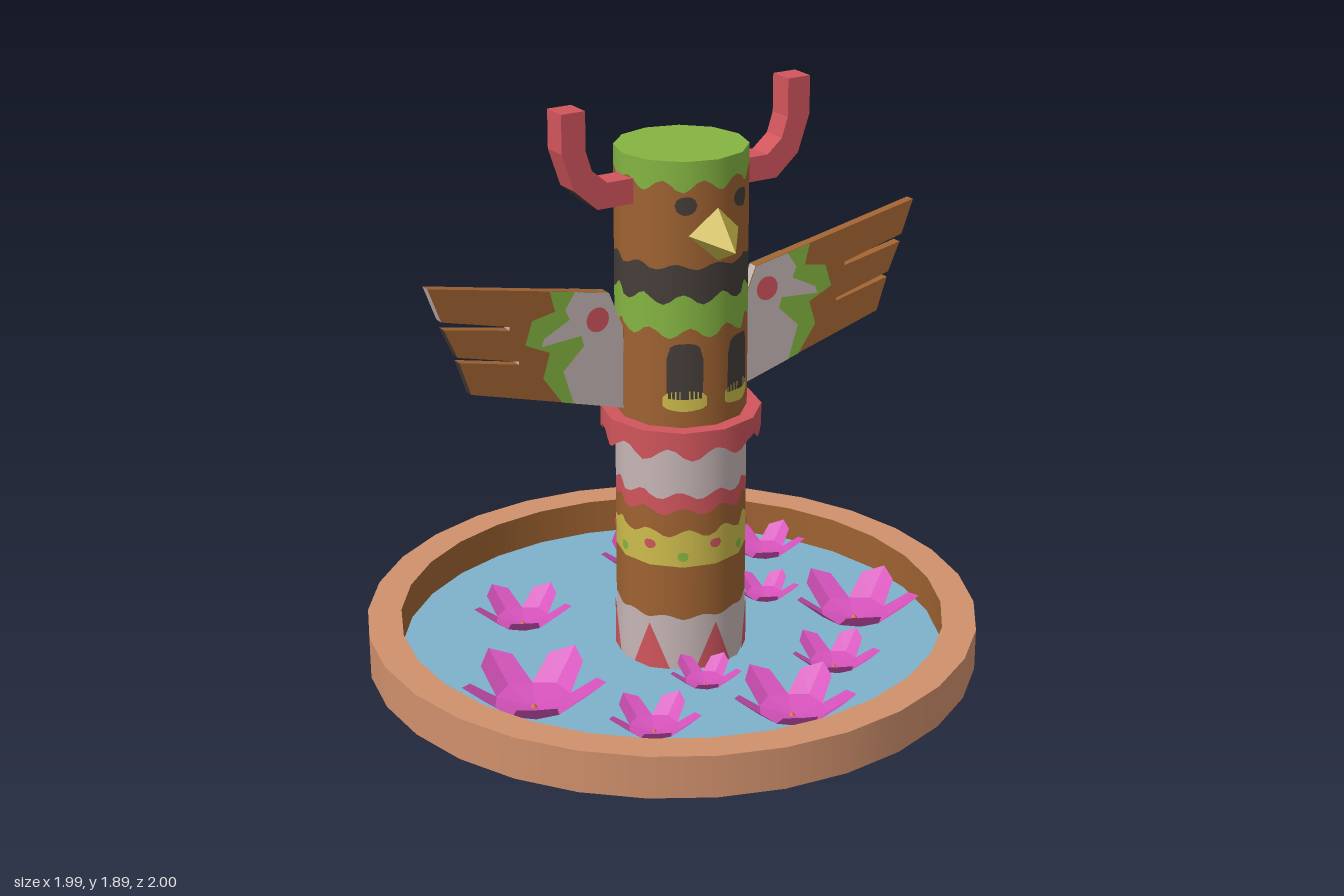
import * as THREE from 'three';
import { ConvexGeometry } from 'three/addons/geometries/ConvexGeometry.js';

const mat = (name, color) => new THREE.MeshStandardMaterial({ name, color, side: THREE.DoubleSide });

const R = 0.21;          // pole radius
const SIDES = 12;        // pole sides

// Distance from the axis to a twelve-sided wall at angle t
function wallRadius(t, r) {
  const step = (Math.PI * 2) / SIDES;
  const local = ((t % step) + step) % step - step / 2;
  return (r * Math.cos(step / 2)) / Math.cos(local);
}

export function createModel() {
  const terracotta = mat('terracotta', 0xd0906c);
  const brown = mat('wood brown', 0x9e6231);
  const green = mat('leaf green', 0x84b442);
  const dark = mat('charcoal', 0x453d39);
  const red = mat('red', 0xd0555c);
  const white = mat('chalk white', 0xc6b5b5);
  const yellow = mat('yellow', 0xcdbb4c);
  const blue = mat('water blue', 0x7db2cb);
  const magenta = mat('petal magenta', 0xd552bb);
  const orange = mat('flower centre orange', 0xd07030);

  const model = new THREE.Group();
  model.name = 'carvedPoleInPond';
  const pole = new THREE.Group();
  pole.name = 'pole';
  pole.position.set(0.017, 0, 0.028);
  model.add(pole);

  const add = (parent, name, geometry, material, x = 0, y = 0, z = 0) => {
    const mesh = new THREE.Mesh(geometry, material);
    mesh.name = name;
    mesh.position.set(x, y, z);
    parent.add(mesh);
    return mesh;
  };
  const flatRing = (inner, outer, n) =>
    new THREE.RingGeometry(inner, outer, n, 1, Math.PI / 2).rotateX(-Math.PI / 2);

  // Basin
  add(model, 'basinWall', new THREE.CylinderGeometry(1, 1, 0.14, 30, 1, true), terracotta, 0, 0.07);
  add(model, 'basinRim', flatRing(0.89, 1, 30), terracotta, 0, 0.14);
  const inner = new THREE.CylinderGeometry(0.89, 0.89, 0.138, 30, 1, true);
  inner.scale(1, -1, 1);
  const idx = inner.index.array;
  for (let i = 0; i < idx.length; i += 3) [idx[i], idx[i + 1]] = [idx[i + 1], idx[i]];
  const n = inner.attributes.normal;
  for (let i = 0; i < n.count; i++) n.setXYZ(i, -n.getX(i), 0, -n.getZ(i));
  // Winding turned twice (mirror and swap), so turn it once more to face inward
  for (let i = 0; i < idx.length; i += 3) [idx[i], idx[i + 1]] = [idx[i + 1], idx[i]];
  inner.computeBoundingSphere();
  add(model, 'basinInnerWall', inner, brown, 0, 0.071);
  add(model, 'water', new THREE.CylinderGeometry(0.985, 0.985, 0.018, 30), blue, 0, 0.01);

  // Band around the pole with wavy edges; an edge is [height, wave size]
  const wave = ([y, a], t) => y + a * Math.cos(10 * t + y * 9);
  function band(name, material, low, high, r = R) {
    const g = new THREE.CylinderGeometry(r, r, 1, 60, 1, true);
    const p = g.attributes.position;
    for (let i = 0; i < p.count; i++) {
      const t = Math.atan2(p.getX(i), p.getZ(i));
      const w = wallRadius(t, r);
      p.setXYZ(i, w * Math.sin(t), wave(p.getY(i) > 0 ? high : low, t), w * Math.cos(t));
    }
    add(pole, name, g, material);
  }
  const edges = [[0, 0], [0.205, 0.006], [0.385, 0], [0.5, 0.014], [0.575, 0.014], [0.63, 0.014],
    [0.86, 0], [1.175, 0.018], [1.285, 0.018], [1.39, 0.01], [1.645, 0.018], [1.725, 0]];
  [white, brown, yellow, brown, red, white, brown, green, dark, brown, green]
    .forEach((m, i) => band('poleBand' + (i + 1), m, edges[i], edges[i + 1]));
  add(pole, 'poleTop', new THREE.CircleGeometry(R, SIDES, Math.PI / 2).rotateX(-Math.PI / 2), green, 0, 1.725);

  // Collar
  band('collar', red, [0.788, 0.02], [0.865, 0], 0.257);
  add(pole, 'collarTop', flatRing(0.2, 0.257, SIDES), red, 0, 0.865);

  // Painted patch wrapped on the pole; low and high give its edges for u from -1 to 1
  function patch(name, material, angle, half, low, high) {
    const g = new THREE.PlaneGeometry(2, 1, 10, 1);
    const p = g.attributes.position;
    for (let i = 0; i < p.count; i++) {
      const u = p.getX(i);
      const t = angle + u * half;
      const w = wallRadius(t, R) + 0.004;
      p.setXYZ(i, w * Math.sin(t), p.getY(i) > 0 ? high(u) : low(u), w * Math.cos(t));
      g.attributes.normal.setXYZ(i, Math.sin(t), 0, Math.cos(t));
    }
    add(pole, name, g, material);
  }
  const arc = (u) => Math.sqrt(Math.max(0, 1 - u * u));
  const dot = (name, m, angle, y, half, h) =>
    patch(name, m, angle, half, (u) => y - h * arc(u), (u) => y + h * arc(u));

  for (let k = 0; k < 6; k++) {
    const a = (k * Math.PI) / 3;
    patch('baseTriangle', red, a, 0.32, () => 0.02, (u) => 0.02 + 0.16 * (1 - Math.abs(u)));
    dot('redDot', red, a, 0.46, 0.1, 0.016);
    dot('greenDot', green, a + Math.PI / 6, 0.423, 0.085, 0.016);
  }
  for (const s of [-1, 1]) {
    dot('eye', dark, s * 0.49, 1.587, 0.17, 0.029);
    patch('leg', dark, s * 0.5, 0.28, () => 0.96, (u) => 1.09 + 0.055 * Math.pow(arc(u), 0.6));
    patch('foot', yellow, s * 0.5, 0.34, (u) => 0.935 - 0.015 * arc(u),
      (u) => 0.965 + 0.022 * arc(u));
  }

  // Beak
  const beak = [[0, 1.585, 0.2], [-0.105, 1.497, 0.165], [0.105, 1.497, 0.165], [0, 1.395, 0.19], [0, 1.455, 0.31]];
  add(pole, 'beak', new ConvexGeometry(beak.map((c) => new THREE.Vector3(...c))), yellow);

  // Flat board cut from an outline; edgeColour picks 0, 1 or 2 from an edge's slope and height
  const toShape = (pts, s) => new THREE.Shape(pts.map(([x, y]) => new THREE.Vector2(s * x, y)));
  function board(parent, name, pts, s, depth, z, materials, edgeColour) {
    const g = new THREE.ExtrudeGeometry(toShape(pts, s), { depth, bevelEnabled: false });
    const p = g.attributes.position;
    const nrm = g.attributes.normal;
    g.clearGroups();
    for (let i = 0; i < p.count; i += 3) {
      const y = (p.getY(i) + p.getY(i + 1) + p.getY(i + 2)) / 3;
      g.addGroup(i, 3, Math.abs(nrm.getZ(i)) > 0.9 ? 0 : edgeColour(nrm.getY(i), y));
    }
    add(parent, name, g, materials, 0, 0, z - depth / 2);
  }

  const horn = [[0.19, 1.575], [0.325, 1.575], [0.405, 1.645], [0.446, 1.765], [0.446, 1.888],
    [0.364, 1.888], [0.364, 1.765], [0.343, 1.70], [0.29, 1.655], [0.19, 1.655]];
  const wing = [[0.195, 0.89], [0.213, 0.895], [0.746, 1.048], [0.783, 1.158], [0.58, 1.112], [0.58, 1.122],
    [0.788, 1.176], [0.831, 1.272], [0.61, 1.228], [0.61, 1.24], [0.838, 1.298], [0.88, 1.41],
    [0.263, 1.287], [0.213, 1.165], [0.195, 1.16]];
  const root = [[0.263, 1.287], [0.213, 1.165], [0.213, 0.895]];
  const greenEdge = [[0.433, 0.958], [0.498, 1.05], [0.473, 1.13], [0.558, 1.17], [0.533, 1.245],
    [0.453, 1.26], [0.47, 1.328]];
  const whiteEdge = [[0.393, 0.947], [0.428, 1.06], [0.353, 1.13], [0.363, 1.165], [0.503, 1.155],
    [0.493, 1.18], [0.403, 1.225], [0.418, 1.26], [0.383, 1.311]];

  for (const s of [1, -1]) {
    const side = s > 0 ? 'left' : 'right';
    board(pole, side + 'Horn', horn, s, 0.084, 0.002, [red, red, dark],
      (ny, y) => (ny < -0.5 && y < 1.66 ? 2 : 1));

    const wingGroup = new THREE.Group();
    wingGroup.name = side + 'Wing';
    wingGroup.position.z = s > 0 ? 0.009 : -0.019;
    pole.add(wingGroup);
    board(wingGroup, 'feathers', wing, s, 0.032, 0, [brown, white, dark],
      (ny, y) => (ny > 0.5 ? 0 : ny < -0.3 && (y < 1.29 || ny < -0.5) ? 2 : 1));
    // Painted layers on both faces
    for (const f of [1, -1]) {
      const layer = (name, shape, m, lift) => {
        const g = new THREE.ShapeGeometry(shape, 10);
        if (f < 0) {
          g.scale(-1, 1, 1).rotateY(Math.PI);
          const ix = g.index.array;
          for (let i = 0; i < ix.length; i += 3) [ix[i], ix[i + 1]] = [ix[i + 1], ix[i]];
          g.computeVertexNormals();
        }
        add(wingGroup, name, g, m, 0, 0, f * (0.016 + lift));
      };
      layer('greenZigzag', toShape([...root, ...greenEdge], s), green, 0.002);
      layer('whitePatch', toShape([...root, ...whiteEdge], s), white, 0.004);
      layer('redSpot', new THREE.Shape().absarc(s * 0.305, 1.207, 0.04, 0, Math.PI * 2), red, 0.006);
    }
  }

  // Flowers: five folded petals rising from a small centre
  const petal = [[0, 0, 0], [0.42, 0.1, -0.31], [0.8, 0.4, -0.27], [1, 0.5, 0.02], [0.8, 0.4, 0.27],
    [0.42, 0.1, 0.31], [0.55, 0.12, 0]];
  const corners = [];
  for (let k = 0; k < 5; k++) {
    const a = (-100 + 72 * k) * Math.PI / 180;
    const ring = petal.map(([x, y, z]) => [x * Math.cos(a) - z * Math.sin(a), y, x * Math.sin(a) + z * Math.cos(a)]);
    for (let i = 0; i < 6; i++) corners.push(...ring[6], ...ring[(i + 1) % 6], ...ring[i]);
  }
  const flowerGeometry = new THREE.BufferGeometry();
  flowerGeometry.setAttribute('position', new THREE.Float32BufferAttribute(corners, 3));
  flowerGeometry.computeVertexNormals();
  const centreGeometry = new THREE.ConeGeometry(0.06, 0.08, 6);
  [[-0.37, -0.35, 0.17], [0.21, -0.49, 0.18], [0.62, -0.385, 0.15], [0.43, -0.09, 0.12], [-0.62, 0.18, 0.235],
    [0.6, 0.2, 0.215], [-0.38, 0.51, 0.15], [-0.08, 0.33, 0.12], [0.34, 0.45, 0.15], [0.04, 0.65, 0.2]]
    .forEach(([x, z, r]) => {
      const flower = new THREE.Group();
      flower.name = 'flower';
      flower.position.set(x, 0.022, z);
      flower.scale.setScalar(r);
      add(flower, 'petals', flowerGeometry, magenta);
      add(flower, 'flowerCentre', centreGeometry, orange, 0, 0.03, 0);
      model.add(flower);
    });

  return model;
}
